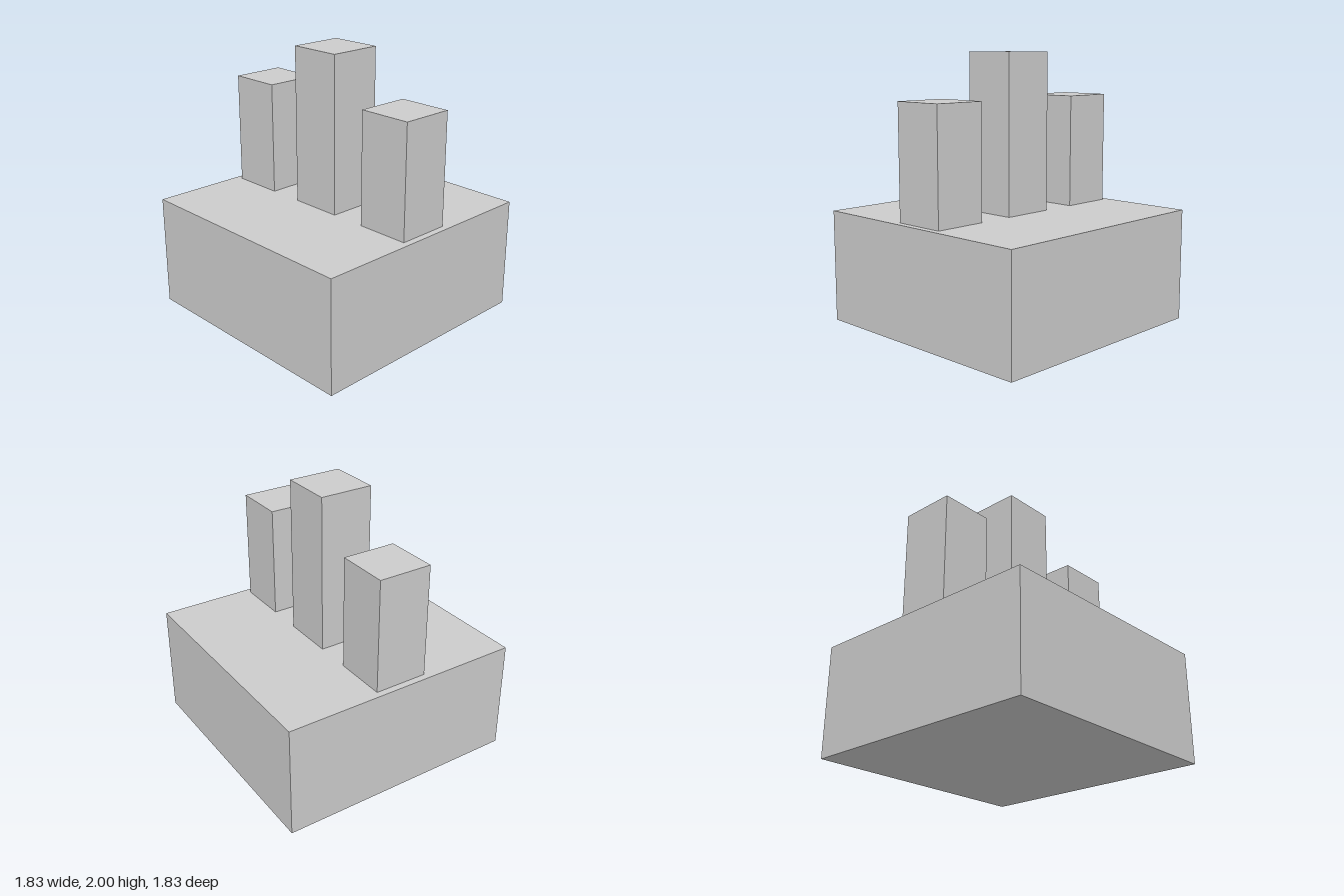
import * as THREE from 'three';

export function createModel() {
  const model = new THREE.Group();
  const material = new THREE.MeshStandardMaterial({ color: 0xcccccc, flatShading: true });

  // Box standing on height y
  function block(name, width, height, depth, x, y) {
    const mesh = new THREE.Mesh(new THREE.BoxGeometry(width, height, depth), material);
    mesh.name = name;
    mesh.position.set(x, y + height / 2, 0);
    model.add(mesh);
  }

  const baseHeight = 0.835;
  const pillarWidth = 0.4;

  // Square base
  block('base', 1.83, baseHeight, 1.83, 0, 0);

  // Tall centre pillar between two shorter ones
  block('centrePillar', pillarWidth, 2 - baseHeight, pillarWidth, 0, baseHeight);
  for (const [name, x] of [['leftPillar', 0.665], ['rightPillar', -0.665]]) {
    block(name, pillarWidth, 1.67 - baseHeight, pillarWidth, x, baseHeight);
  }

  return model;
}
